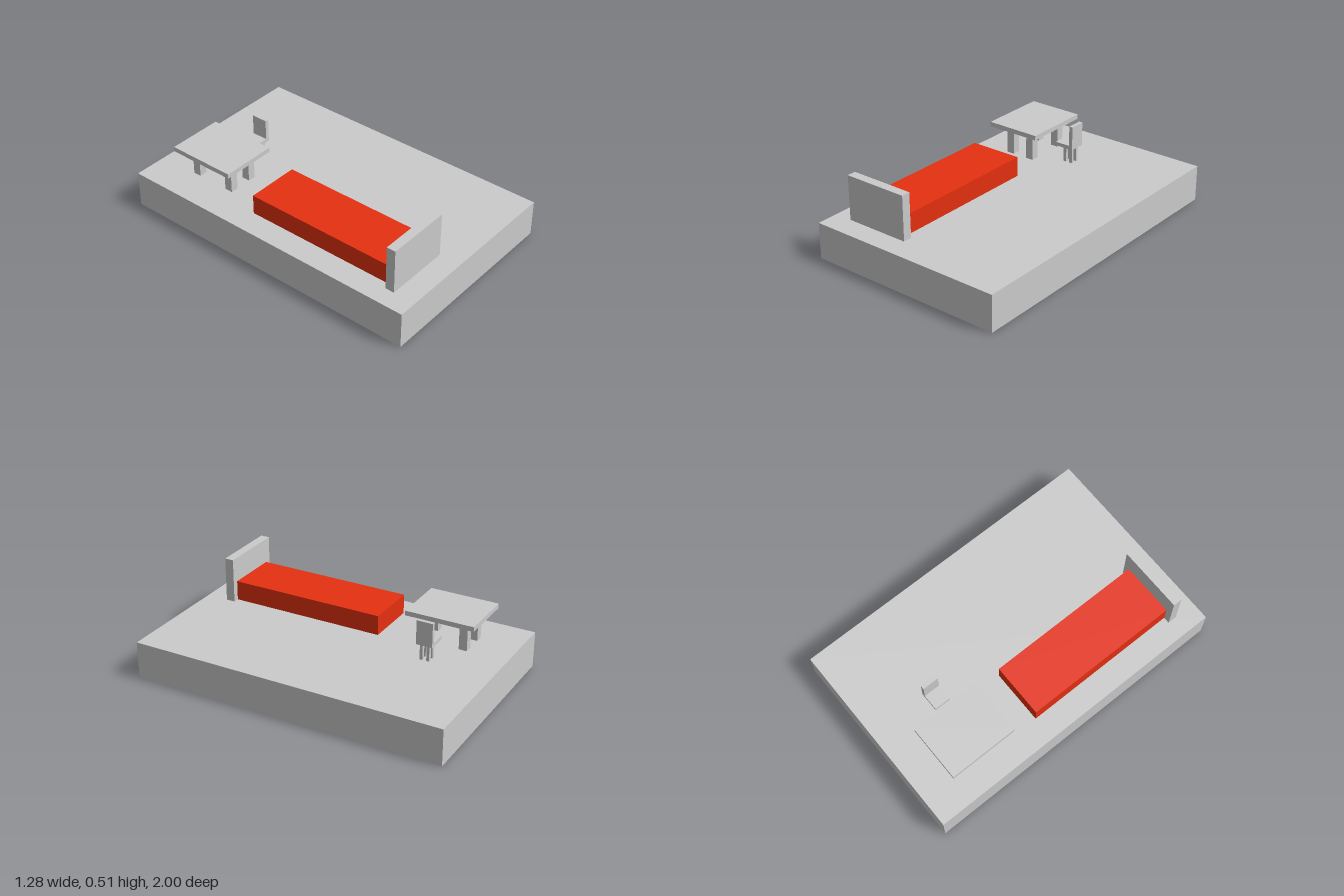
import * as THREE from 'three';

const grey = new THREE.MeshStandardMaterial({ color: 0xcccccc });
const red = new THREE.MeshStandardMaterial({ color: 0xe63010 });

// Box given by its extents along each axis
function box(name, [x0, x1], [y0, y1], [z0, z1], material = grey) {
  const mesh = new THREE.Mesh(new THREE.BoxGeometry(x1 - x0, y1 - y0, z1 - z0), material);
  mesh.position.set((x0 + x1) / 2, (y0 + y1) / 2, (z0 + z1) / 2);
  mesh.name = name;
  return mesh;
}

// Square legs standing at every combination of the given x and z centres
function legs(name, xs, zs, wx, wz, ySpan) {
  const group = new THREE.Group();
  group.name = name;
  for (const x of xs) {
    for (const z of zs) {
      group.add(box('leg', [x - wx / 2, x + wx / 2], ySpan, [z - wz / 2, z + wz / 2]));
    }
  }
  return group;
}

function assembly(name, ...parts) {
  const group = new THREE.Group();
  group.name = name;
  group.add(...parts);
  return group;
}

export function createModel() {
  const floor = 0.23;

  // Floor slab
  const slab = box('floorSlab', [-0.64, 0.64], [0, floor], [-1, 1]);

  // Bed with headboard
  const bed = assembly('bed',
    box('mattress', [-0.485, -0.145], [floor, 0.355], [-0.195, 0.803], red),
    box('headboard', [-0.525, -0.107], [floor, 0.513], [0.803, 0.86]));

  // Table
  const table = assembly('table',
    box('tableTop', [-0.503, -0.147], [0.404, 0.434], [-0.81, -0.37]),
    legs('tableLegs', [-0.392, -0.242], [-0.459, -0.717], 0.05, 0.052, [floor, 0.404]));

  // Chair facing the table
  const chair = assembly('chair',
    box('chairSeat', [-0.105, -0.004], [0.33, 0.353], [-0.63, -0.527]),
    box('chairBack', [-0.004, 0.02], [0.33, 0.483], [-0.63, -0.527]),
    legs('chairLegs', [-0.049, -0.005], [-0.555, -0.598], 0.022, 0.018, [floor, 0.33]));

  return assembly('bedroom', slab, bed, table, chair);
}
